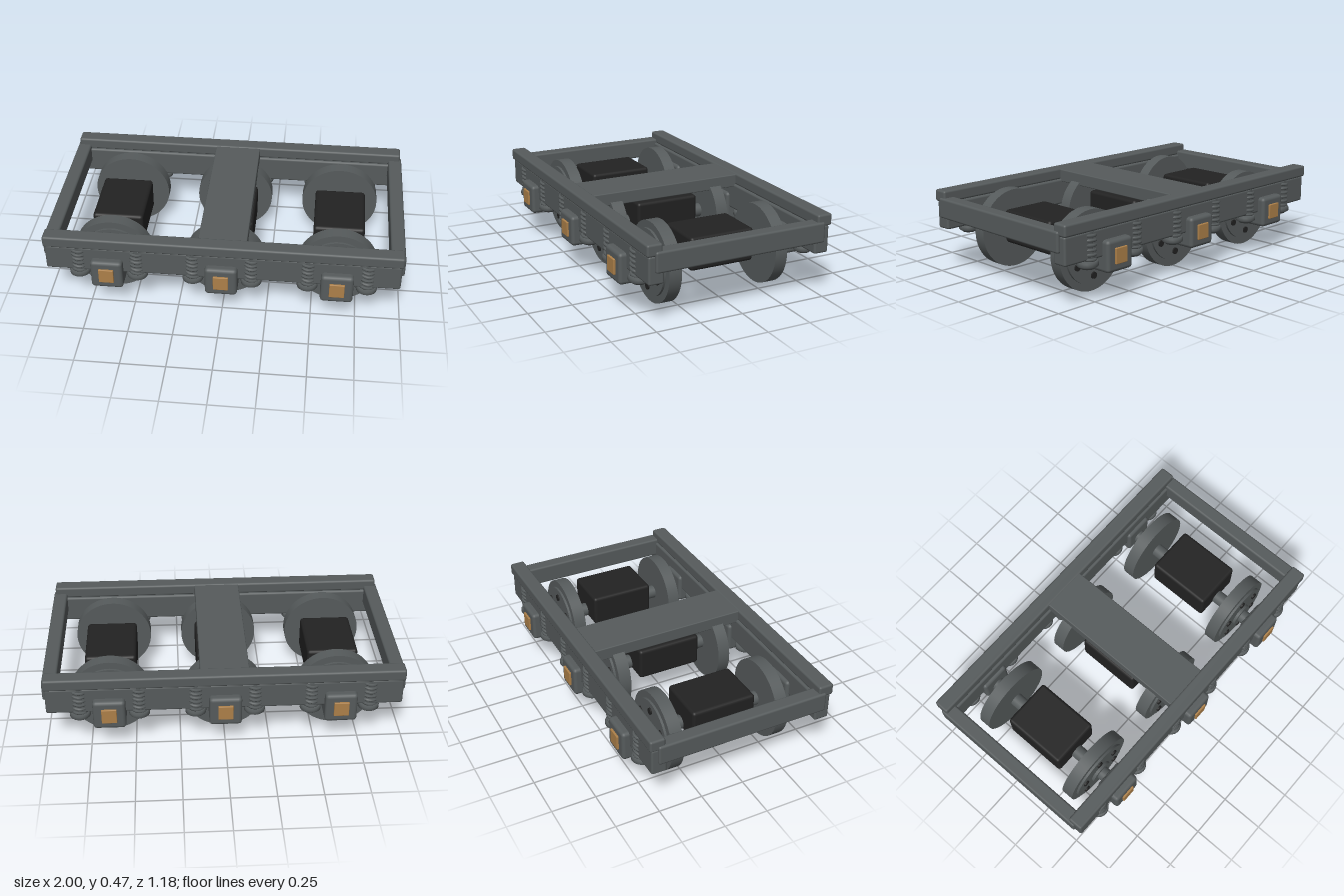
import * as THREE from 'three';
import { RoundedBoxGeometry } from 'three/addons/geometries/RoundedBoxGeometry.js';

const material = (name, color) => {
  const m = new THREE.MeshStandardMaterial({ color });
  m.name = name;
  return m;
};

// Helix spring running upwards from y0 to y1
class Helix extends THREE.Curve {
  constructor(radius, y0, y1, turns) {
    super();
    Object.assign(this, { radius, y0, y1, turns });
  }
  getPoint(t, target = new THREE.Vector3()) {
    const a = t * this.turns * Math.PI * 2;
    return target.set(Math.cos(a) * this.radius, this.y0 + (this.y1 - this.y0) * t, Math.sin(a) * this.radius);
  }
}

export function createModel() {
  const model = new THREE.Group();
  model.name = 'bogie';
  const steel = material('steel grey', 0x565b5c);
  const black = material('motor black', 0x222222);
  const brass = material('brass', 0xad8049);

  const add = (parent, name, geometry, mat, x = 0, y = 0, z = 0) => {
    const mesh = new THREE.Mesh(geometry, mat);
    mesh.name = name;
    mesh.position.set(x, y, z);
    parent.add(mesh);
    return mesh;
  };
  // Rounded box given by its limits on each axis
  const block = (parent, name, mat, [x0, x1], [y0, y1], [z0, z1], r = 0.012) =>
    add(parent, name, new RoundedBoxGeometry(x1 - x0, y1 - y0, z1 - z0, 2, r), mat,
      (x0 + x1) / 2, (y0 + y1) / 2, (z0 + z1) / 2);
  // Cylinder lying along z
  const disc = (parent, name, mat, r, z0, z1, x = 0, y = 0, sides = 40) =>
    add(parent, name, new THREE.CylinderGeometry(r, r, z1 - z0, sides).rotateX(Math.PI / 2), mat, x, y, (z0 + z1) / 2);

  // Cross members
  for (const s of [-1, 1])
    block(model, 'endBeam', steel, s > 0 ? [0.92, 1] : [-1, -0.92], [0.31, 0.425], [-0.5, 0.5]);
  block(model, 'centreBolster', steel, [-0.135, 0.135], [0.385, 0.46], [-0.47, 0.47], 0.006);

  const axleX = [-0.637, 0, 0.637];
  const axleY = 0.225;
  const coil = new THREE.TubeGeometry(new Helix(0.042, 0.24, 0.395, 6), 110, 0.009, 6);
  const core = new THREE.CylinderGeometry(0.036, 0.036, 0.16, 20);
  const cup = new THREE.LatheGeometry([
    [0, 0.195], [0.036, 0.195], [0.042, 0.203], [0.05, 0.205], [0.058, 0.212],
    [0.058, 0.23], [0.052, 0.24], [0, 0.24],
  ].map(([x, y]) => new THREE.Vector2(x, y)), 24);

  // Each side, built facing +z and turned round for the back
  for (const turn of [0, Math.PI]) {
    const side = new THREE.Group();
    side.name = turn ? 'backSide' : 'frontSide';
    side.rotation.y = turn;
    model.add(side);
    block(side, 'topRail', steel, [-0.99, 0.99], [0.398, 0.465], [0.458, 0.546]);
    block(side, 'sidePlate', steel, [-0.983, 0.983], [0.245, 0.4], [0.447, 0.535]);

    for (const x of axleX) {
      // Axle box with brass cover
      block(side, 'axleBox', steel, [x - 0.09, x + 0.09], [0.16, 0.335], [0.428, 0.577], 0.02);
      block(side, 'axleBoxCover', brass, [x - 0.042, x + 0.042], [0.205, 0.292], [0.57, 0.588], 0.004);

      // Springs on both sides of the box
      for (const dx of [-0.163, 0.163]) {
        add(side, 'spring', coil, steel, x + dx, 0, 0.5);
        add(side, 'springCore', core, steel, x + dx, 0.315, 0.5);
        add(side, 'springCup', cup, steel, x + dx, 0, 0.5);
      }

      // Wheel, raised face and bolts
      disc(side, 'wheel', steel, 0.225, 0.284, 0.356, x, axleY, 56);
      disc(side, 'wheelFace', steel, 0.185, 0.35, 0.369, x, axleY, 48);
      disc(side, 'wheelHub', steel, 0.07, 0.36, 0.385, x, axleY, 32);
      for (let i = 0; i < 6; i++) {
        const a = Math.PI / 6 + i * Math.PI / 3;
        disc(side, 'wheelBolt', black, 0.019, 0.365, 0.378,
          x + Math.cos(a) * 0.135, axleY + Math.sin(a) * 0.135, 12);
      }
    }
  }

  // Axles and motors
  for (const x of axleX) {
    disc(model, 'axle', steel, 0.04, -0.46, 0.46, x, axleY, 28);
    block(model, 'motor', black, [x - 0.146, x + 0.146], [0.188, 0.375], [-0.19, 0.19], 0.018);
  }
  return model;
}
